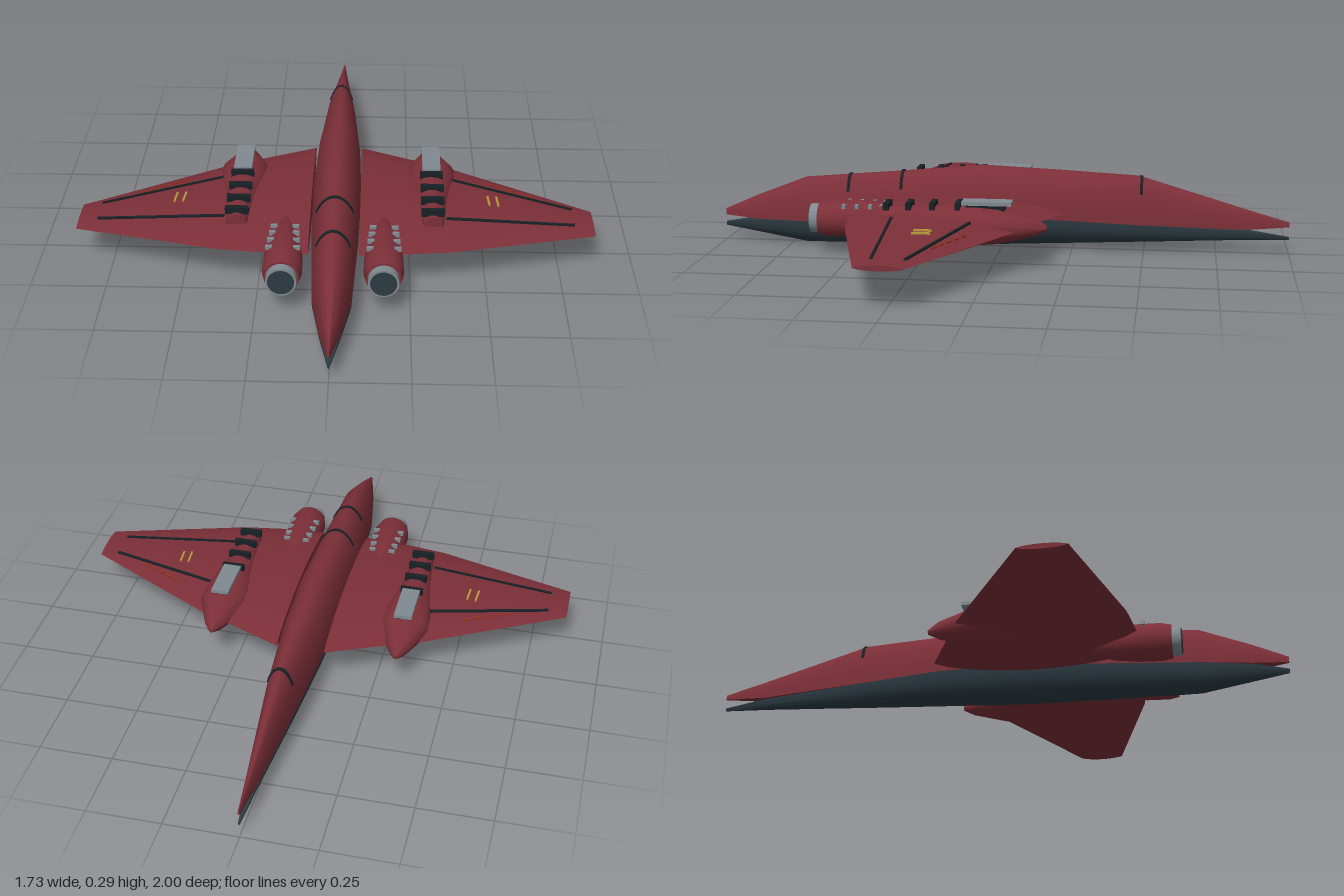
import * as THREE from 'three';
import { toCreasedNormals } from 'three/addons/utils/BufferGeometryUtils.js';

const mat = (name, color) => new THREE.MeshStandardMaterial({ name, color });
const V = (x, y, z) => new THREE.Vector3(x, y, z);

// Linear interpolation in a table of rows keyed by their first column
function lookup(rows, k) {
  let i = 0;
  while (i < rows.length - 2 && k > rows[i + 1][0]) i++;
  const a = rows[i], b = rows[i + 1];
  const t = THREE.MathUtils.clamp((k - a[0]) / (b[0] - a[0]), 0, 1);
  return a.map((v, j) => v + (b[j] - v) * t);
}

// Skin closed rings (counter-clockwise around the travel axis) and cap both ends
function loft(rings) {
  const n = rings[0].length, pts = rings.flat(), idx = [];
  for (let i = 0; i < rings.length - 1; i++) {
    for (let j = 0; j < n; j++) {
      const a = i * n + j, b = i * n + (j + 1) % n;
      idx.push(a, b, a + n, b, b + n, a + n);
    }
  }
  [0, rings.length - 1].forEach((r, end) => {
    const c = V(0, 0, 0);
    rings[r].forEach(p => c.addScaledVector(p, 1 / n));
    const ci = pts.push(c) - 1;
    for (let j = 0; j < n; j++) {
      const a = r * n + j, b = r * n + (j + 1) % n;
      idx.push(ci, end ? a : b, end ? b : a);
    }
  });
  return new THREE.BufferGeometry().setFromPoints(pts).setIndex(idx);
}

// Fuselage stations: z, half width, top, upper seam, lower seam, bottom
const HULL = [
  [-1, 0.003, 0.112, 0.095, 0.06, 0.05],
  [-0.85, 0.018, 0.155, 0.085, 0.08, 0.046],
  [-0.48, 0.054, 0.265, 0.1, 0.1, 0.03],
  [-0.2, 0.076, 0.28, 0.115, 0.115, 0.018],
  [0.07, 0.084, 0.292, 0.115, 0.115, 0.006],
  [0.35, 0.079, 0.265, 0.1, 0.1, 0.002],
  [0.7, 0.063, 0.235, 0.085, 0.085, 0],
  [0.88, 0.032, 0.165, 0.083, 0.08, 0.03],
  [1, 0.004, 0.112, 0.09, 0.065, 0.05],
];
function hullArc([z, w, top, seamU, seamL, bot], a0, a1, grow = 0) {
  const ring = [];
  for (let k = 0; k <= 16; k++) {
    const a = a0 + (a1 - a0) * k / 16, s = Math.sin(a);
    const y = a0 < Math.PI ? seamU + s * (top - seamU + grow) : seamL + s * (seamL - bot);
    ring.push(V(Math.cos(a) * (w + grow), y, z));
  }
  return ring;
}

// Wing stations: x, rear z, front z, top, bottom, edge height
const WING = [
  [0.083, -0.22, 0.51, 0.19, 0.092, 0.142],
  [0.25, -0.145, 0.497, 0.188, 0.09, 0.141],
  [0.38, -0.09, 0.48, 0.178, 0.093, 0.139],
  [0.865, 0.19, 0.35, 0.138, 0.12, 0.129],
];
const bulge = t => Math.pow(Math.max(0, Math.sin(Math.PI * t)), 0.65);
function wingTop(x, z) {
  const [, z0, z1, top, , mid] = lookup(WING, x);
  return mid + (top - mid) * bulge(THREE.MathUtils.clamp((z - z0) / (z1 - z0), 0, 1));
}
function wingRing(x) {
  const [, z0, z1, top, bot, mid] = lookup(WING, x), n = 14, ring = [];
  for (let k = 0; k < 2 * n; k++) {
    const t = k <= n ? k / n : 2 - k / n;
    ring.push(V(x, mid + ((k <= n ? top : bot) - mid) * bulge(t), z0 + (z1 - z0) * t));
  }
  return ring;
}

// Thin strip draped over the upper wing surface
function strip(x0, z0, x1, z1, width) {
  const dx = x1 - x0, dz = z1 - z0;
  const g = new THREE.BoxGeometry(Math.hypot(dx, dz), 0.008, width, 12, 1, 1);
  g.rotateY(-Math.atan2(dz, dx)).translate((x0 + x1) / 2, 0.002, (z0 + z1) / 2);
  const p = g.attributes.position;
  for (let i = 0; i < p.count; i++) p.setY(i, p.getY(i) + wingTop(p.getX(i), p.getZ(i)));
  return g;
}

// Oval body along z from rows of z, half width, centre y, half height
const oval = (cx, rows) => loft(rows.map(([z, w, y, h]) =>
  Array.from({ length: 24 }, (_, k) => {
    const a = k / 24 * Math.PI * 2;
    return V(cx + Math.cos(a) * w, y + Math.sin(a) * h, z);
  })));
const box = (w, h, d, x, y, z) => new THREE.BoxGeometry(w, h, d).translate(x, y, z);
const drum = (r, z0, z1, x, y) =>
  new THREE.CylinderGeometry(r, r, z1 - z0, 28).rotateX(Math.PI / 2).translate(x, y, (z0 + z1) / 2);

export function createModel() {
  const red = mat('hull red', 0x7c2f38), slate = mat('belly slate', 0x2c3b42);
  const grey = mat('metal grey', 0x7f8a90), dark = mat('trim black', 0x182024);
  const yellow = mat('marking yellow', 0xb8963a), rust = mat('marking rust', 0x94301f);
  const root = new THREE.Group();
  root.name = 'aircraft';

  function add(parent, name, geo, material, side = 1) {
    if (side < 0) {
      geo.scale(-1, 1, 1);
      geo.setIndex(Array.from(geo.index.array).reverse());
    }
    const mesh = new THREE.Mesh(toCreasedNormals(geo, 0.7), material);
    mesh.name = name;
    parent.add(mesh);
  }

  // Fuselage halves, parted at nose and tail
  add(root, 'upperFuselage', loft(HULL.map(r => hullArc(r, 0, Math.PI))), red);
  add(root, 'lowerFuselage', loft(HULL.map(r => hullArc(r, Math.PI, Math.PI * 2))), slate);

  // Dark bands over the spine
  for (const z of [-0.49, 0.35, 0.54]) {
    add(root, 'spineBand', loft([z - 0.005, z + 0.005].map(v =>
      hullArc(lookup(HULL, v), Math.PI * 0.22, Math.PI * 0.78, 0.004))), dark);
  }

  for (const side of [1, -1]) {
    const half = new THREE.Group();
    half.name = side > 0 ? 'leftWingGroup' : 'rightWingGroup';
    root.add(half);
    const put = (name, geo, m) => add(half, name, geo, m, side);

    put('wing', loft([0.083, 0.165, 0.25, 0.315, 0.38, 0.5, 0.62, 0.74, 0.865].map(wingRing)), red);

    // Wing panel lines and painted marks
    put('rearPanelLine', strip(0.39, 0.055, 0.8, 0.2, 0.008), dark);
    put('frontPanelLine', strip(0.37, 0.325, 0.8, 0.305, 0.008), dark);
    for (const x of [0.515, 0.545]) put('yellowMark', strip(x, 0.165, x + 0.004, 0.225, 0.007), yellow);
    for (let i = 0; i < 5; i++) {
      const x = 0.52 + i * 0.034, z = 0.055 + i * 0.0185;
      put('rustDash', strip(x, z, x + 0.02, z + 0.011, 0.006), rust);
    }

    // Pod with a raised plate and dark ribs
    put('wingPod', oval(0.325, [
      [-0.19, 0.008, 0.142, 0.008], [-0.15, 0.034, 0.145, 0.03], [-0.03, 0.084, 0.148, 0.06],
      [0.04, 0.083, 0.148, 0.066], [0.14, 0.066, 0.15, 0.064], [0.25, 0.05, 0.155, 0.055],
      [0.37, 0.035, 0.16, 0.043],
    ]), red);
    put('podPlateMount', box(0.045, 0.03, 0.13, 0.325, 0.205, 0.015), dark);
    put('podPlate', box(0.062, 0.012, 0.165, 0.325, 0.225, 0.01), grey);
    [0.105, 0.19, 0.27, 0.345].forEach((z, i) =>
      put('podRib', box(0.078, 0.024, 0.018, 0.325, 0.215 - i * 0.002, z), dark));

    // Engine with nozzle ring and small vents
    put('engine', oval(0.163, [
      [0.315, 0.018, 0.14, 0.03], [0.335, 0.03, 0.138, 0.042], [0.42, 0.052, 0.128, 0.058],
      [0.5, 0.063, 0.125, 0.064], [0.58, 0.065, 0.123, 0.064], [0.615, 0.057, 0.122, 0.057],
    ]), red);
    put('nozzleRing', drum(0.05, 0.605, 0.645, 0.163, 0.122), grey);
    put('nozzleFace', drum(0.043, 0.64, 0.648, 0.163, 0.122), slate);
    [0.39, 0.43, 0.475, 0.52].forEach((z, i) => {
      for (const d of [-1, 1]) {
        put('engineVent', box(0.022, 0.014, 0.012, 0.163 + d * (0.036 + i * 0.003), 0.174, z), grey);
      }
    });
  }
  return root;
}
